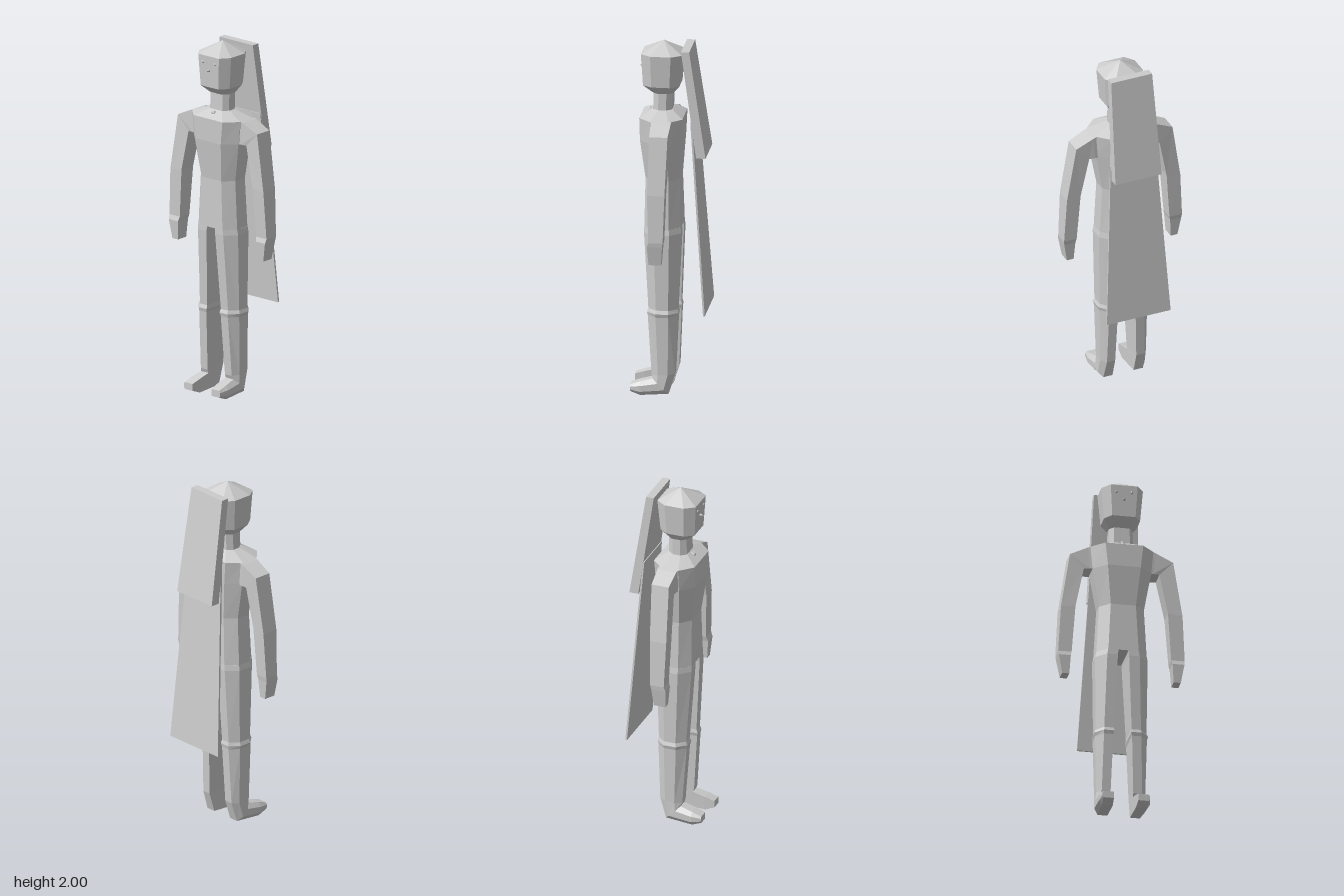
import * as THREE from 'three';

const grey = new THREE.MeshStandardMaterial({ color: 0xcccccc, flatShading: true });
grey.name = 'plain grey';

// Skin a list of rings (each a list of [x, y, z]) and cap both ends
function loft(name, rings) {
  const n = rings[0].length, tris = [];
  const mid = r => [0, 1, 2].map(k => r.reduce((s, p) => s + p[k], 0) / n);
  for (let i = 0; i < rings.length - 1; i++) {
    for (let j = 0; j < n; j++) {
      const k = (j + 1) % n, a = rings[i], b = rings[i + 1];
      tris.push([a[j], a[k], b[k]], [a[j], b[k], b[j]]);
    }
  }
  const first = rings[0], last = rings[rings.length - 1];
  for (let j = 0; j < n; j++) {
    const k = (j + 1) % n;
    tris.push([first[k], first[j], mid(first)], [last[j], last[k], mid(last)]);
  }
  // Turn the faces outward, whichever way the rings run
  const v = p => new THREE.Vector3(...p);
  const volume = tris.reduce((s, [a, b, c]) => s + v(a).dot(v(b).cross(v(c))), 0);
  if (volume < 0) tris.forEach(t => t.reverse());
  const geo = new THREE.BufferGeometry();
  geo.setAttribute('position', new THREE.Float32BufferAttribute(tris.flat(2), 3));
  geo.computeVertexNormals();
  const mesh = new THREE.Mesh(geo, grey);
  mesh.name = name;
  return mesh;
}

// Eight-sided horizontal ring; bx and bz set where the corners are cut
function octagon([y, hx, front, back, bx = 0.6, bz = 0.42]) {
  const c = (front + back) / 2, hz = (front - back) / 2;
  return [[bx, 1], [1, bz], [1, -bz], [bx, -1], [-bx, -1], [-1, -bz], [-1, bz], [-bx, 1]]
    .map(([x, z]) => [x * hx, y, c + z * hz]);
}

// Leg ring: flat inside, bevelled outside, running from a front to a back point
function legRing(side, [inner, outer, bevel, zf, yf, zb, yb]) {
  return [[inner, 0], [bevel, 0], [outer, 0.29], [outer, 0.71], [bevel, 1], [inner, 1]]
    .map(([x, t]) => [side * x, yf + (yb - yf) * t, zf + (zb - zf) * t]);
}

// Arm ring: four corners across an outer and an inner point
function armRing(side, [xo, yo, xi, yi, zf, zb]) {
  return [[xo, yo, zf], [xo, yo, zb], [xi, yi, zb], [xi, yi, zf]].map(([x, y, z]) => [side * x, y, z]);
}

// Slab ring: a thick horizontal strip
function slabRing([y, hx, front, back]) {
  return [[hx, y, front], [hx, y, back], [-hx, y, back], [-hx, y, front]];
}

function createModel() {
  const model = new THREE.Group();
  model.name = 'cloakedFigure';

  // Body and head
  model.add(loft('torso', [
    [0.955, 0.14, 0.137, -0.063],
    [1.23, 0.125, 0.132, -0.055, 0.56],
    [1.45, 0.163, 0.16, -0.07, 0.56],
    [1.58, 0.175, 0.162, -0.075],
    [1.617, 0.07, 0.095, -0.012]
  ].map(octagon)));
  model.add(loft('neck', [
    [1.61, 0.068, 0.094, -0.01, 0.65],
    [1.72, 0.066, 0.09, -0.012, 0.65]
  ].map(octagon)));
  model.add(loft('head', [
    [1.71, 0.066, 0.095, -0.015, 0.65, 0.5],
    [1.755, 0.1, 0.147, -0.053, 0.65, 0.5],
    [1.935, 0.115, 0.157, -0.068, 0.65, 0.5],
    [2.0, 0.0005, 0.0405, 0.0395, 0.65, 0.5]
  ].map(octagon)));

  for (const side of [1, -1]) {
    const label = side > 0 ? 'left' : 'right';
    // Legs, each with a boot cuff, ankle and foot
    model.add(loft(label + 'Leg', [
      [0.028, 0.14, 0.085, 0.137, 0.957, -0.063, 0.957],
      [0.031, 0.146, 0.09, 0.138, 0.925, -0.066, 0.925],
      [0.05, 0.142, 0.102, 0.112, 0.495, -0.048, 0.495],
      [0.046, 0.15, 0.104, 0.12, 0.475, -0.054, 0.475],
      [0.052, 0.144, 0.104, 0.115, 0.455, -0.05, 0.455],
      [0.063, 0.137, 0.112, 0.093, 0.12, -0.036, 0.13],
      [0.063, 0.14, 0.118, 0.085, 0.1, 0, 0.015],
      [0.064, 0.142, 0.125, 0.155, 0.082, 0.155, 0.004],
      [0.068, 0.132, 0.125, 0.21, 0.064, 0.21, 0.025]
    ].map(r => legRing(side, r))));
    // Arms, each with a sleeve cuff and a mitten hand
    model.add(loft(label + 'Arm', [
      [0.17, 1.582, 0.16, 1.45, 0.09, -0.022],
      [0.19, 1.575, 0.175, 1.45, 0.088, -0.022],
      [0.287, 1.53, 0.21, 1.45, 0.083, -0.018],
      [0.338, 1.21, 0.257, 1.22, 0.088, -0.008],
      [0.352, 0.945, 0.277, 0.945, 0.079, 0],
      [0.349, 0.92, 0.283, 0.92, 0.088, 0.004],
      [0.33, 0.813, 0.29, 0.813, 0.08, 0.012]
    ].map(r => armRing(side, r))));
    // Eyes
    const eye = new THREE.Mesh(new THREE.IcosahedronGeometry(0.01), grey);
    eye.name = label + 'Eye';
    eye.position.set(side * 0.043, 1.895, 0.153);
    model.add(eye);
  }

  // Pointed nose and collar clasp
  const nose = new THREE.Mesh(new THREE.ConeGeometry(0.011, 0.03, 6), grey);
  nose.name = 'nose';
  nose.rotation.x = Math.PI / 2;
  nose.position.set(0, 1.852, 0.161);
  const clasp = new THREE.Mesh(new THREE.IcosahedronGeometry(0.016), grey);
  clasp.name = 'clasp';
  clasp.position.set(0, 1.603, 0.115);
  model.add(nose, clasp);

  // Back slab and long cape
  model.add(loft('backSlab', [
    [1.97, 0.122, -0.07, -0.115],
    [1.372, 0.138, -0.155, -0.207]
  ].map(slabRing)));
  model.add(loft('cape', [
    [1.57, 0.13, -0.122, -0.132],
    [0.488, 0.19, -0.2, -0.21]
  ].map(slabRing)));

  return model;
}

export { createModel };
